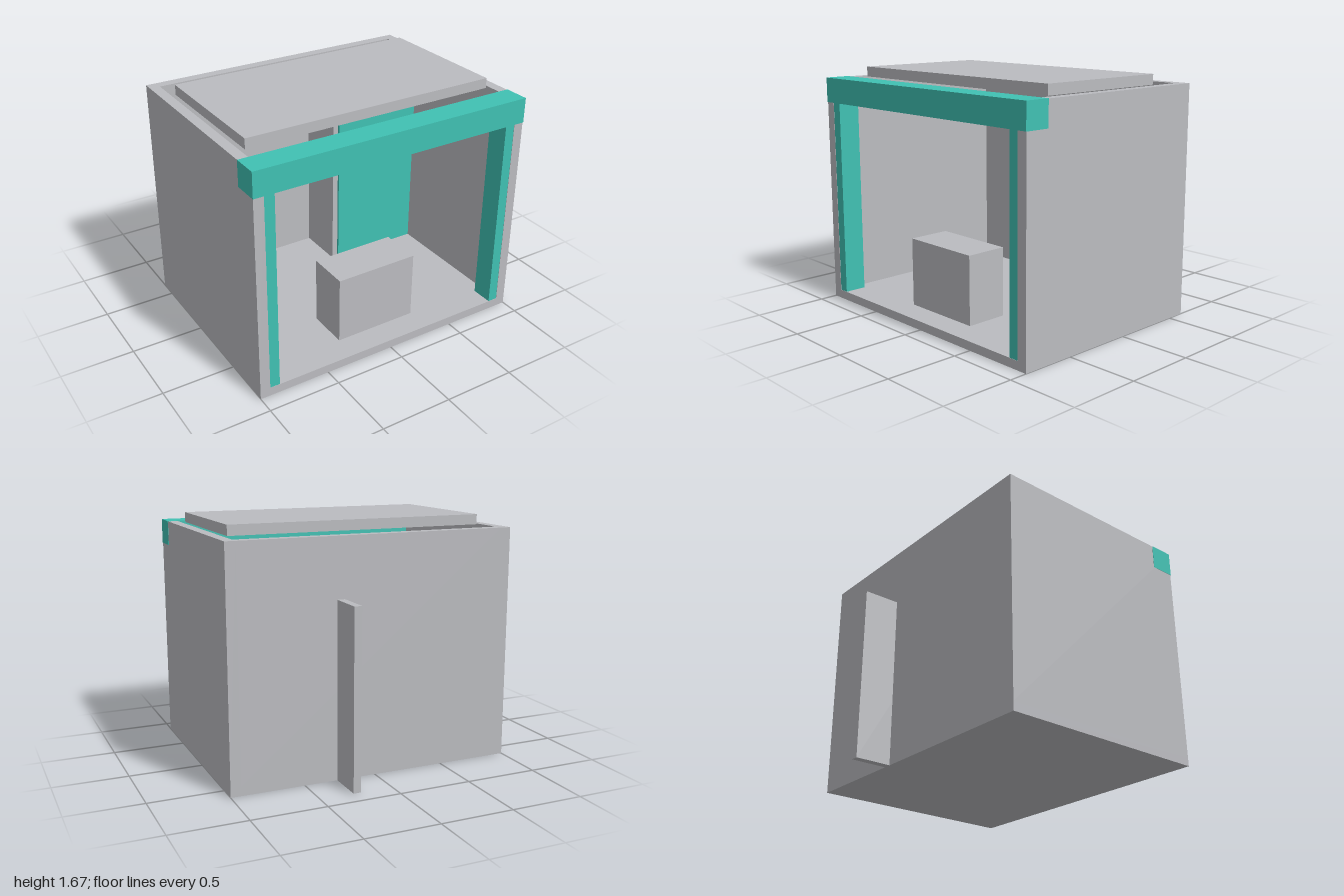
import * as THREE from 'three';

const grey = new THREE.MeshStandardMaterial({ color: 0xbbbcc0 });
grey.name = 'concrete grey';
const teal = new THREE.MeshStandardMaterial({ color: 0x40c1b3 });
teal.name = 'teal trim';

// Box given by its minimum and maximum along each axis
function box(name, material, [x0, x1], [y0, y1], [z0, z1]) {
  const geometry = new THREE.BoxGeometry(x1 - x0, y1 - y0, z1 - z0);
  const mesh = new THREE.Mesh(geometry, material);
  mesh.name = name;
  mesh.position.set((x0 + x1) / 2, (y0 + y1) / 2, (z0 + z1) / 2);
  return mesh;
}

export function createModel() {
  const model = new THREE.Group();
  model.name = 'kiosk';
  const front = 0.876, back = -0.63, height = 1.6;
  const wall = 0.07, floorTop = 0.06;

  // Shell: floor, back wall and two side walls
  model.add(box('floor', grey, [-1, 1], [0, floorTop], [back, front]));
  model.add(box('backWall', grey, [-1 + wall, 1 - wall], [floorTop, height], [back, back + wall]));
  for (const [side, s] of [['left', 1], ['right', -1]]) {
    const span = (a, b) => (s > 0 ? [a, b] : [-b, -a]);
    model.add(box(side + 'Wall', grey, span(1 - wall, 1), [floorTop, height], [back, front]));
    // Front post inside each side wall
    model.add(box(side + 'Post', teal, span(0.86, 1 - wall), [floorTop, 1.43], [0.72, front - 0.002]));
  }

  // Beam across the front opening, just proud of the walls
  model.add(box('frontBeam', teal, [-1.002, 1.002], [1.43, height + 0.002], [0.703, 0.88]));

  // Raised roof slab, smaller than the open top
  model.add(box('roofSlab', grey, [-0.9, 0.9], [height, 1.67], [-0.37, 0.605]));

  // Counter standing on the floor
  model.add(box('counter', grey, [-0.3, 0.295], [floorTop, 0.535], [0.4, 0.695]));

  // Inner partition and the fin that runs out through the back wall
  model.add(box('partition', teal, [0.262, 0.93], [floorTop, 1.2], [-0.25, -0.195]));
  model.add(box('backFin', grey, [0.22, 0.272], [0, 1.199], [-0.88, -0.21]));

  return model;
}
